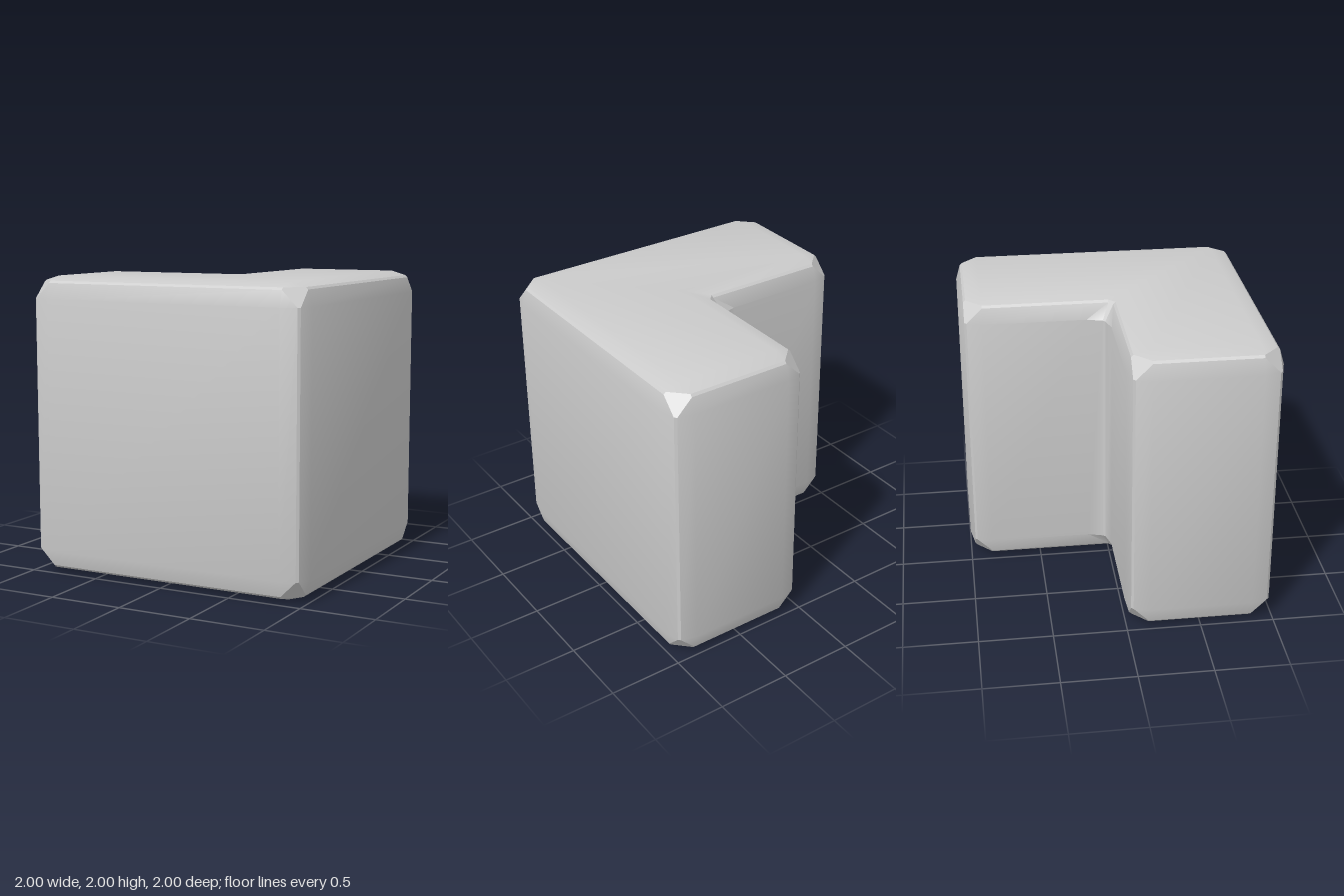
import * as THREE from 'three';
import { toCreasedNormals } from 'three/addons/utils/BufferGeometryUtils.js';

// L-shaped outline (x, z), counter-clockwise from above; c = -1 marks the inner corner
const OUTLINE = [[-1, 1], [1, 1], [1, -1], [0, -1], [0, 0], [-1, 0]];
const CONVEX = [1, 1, 1, 1, -1, 1];
const N = OUTLINE.length, H = 2;
const FLAT = 0.15;   // where a face starts to slope towards its edge
const EDGE = 0.045;  // where the slope meets the bevel
const DROP = 0.03;   // how far the slope falls

// Point on wall i: end e (0 start, 1 end), inset along the wall, depth outward, height
function at(i, e, inset, depth, y) {
  const [px, pz] = OUTLINE[i], [qx, qz] = OUTLINE[(i + 1) % N];
  const len = Math.hypot(qx - px, qz - pz);
  const dx = (qx - px) / len, dz = (qz - pz) / len;
  const s = e ? len - inset : inset;
  return [px + dx * s - dz * depth, y, pz + dz * s + dx * depth];
}
const convex = (i, e) => CONVEX[(i + e) % N];
const level = (t, inset) => (t ? H - inset : inset);
const runOut = (i, e) => (convex(i, e) > 0 ? FLAT : 0);

// Named points of each wall; t = 1 top, 0 bottom
const flat = (i, e, t) => at(i, e, FLAT, 0, level(t, FLAT));
const side = (i, e, t) => at(i, e, EDGE, -DROP * convex(i, e), level(t, FLAT));
const rim = (i, e, t) => at(i, e, runOut(i, e), -DROP, level(t, EDGE));
const capRim = (i, e, t) => at(i, e, runOut(i, e), -EDGE, level(t, DROP));
const capFlat = (i, t) => at(i % N, 0, FLAT * CONVEX[i % N], -FLAT, level(t, 0));

function polygonMesh(name, polygons, material) {
  const pos = [];
  for (const p of polygons)
    for (let k = 1; k < p.length - 1; k++) pos.push(...p[0], ...p[k], ...p[k + 1]);
  const g = new THREE.BufferGeometry();
  g.setAttribute('position', new THREE.Float32BufferAttribute(pos, 3));
  const mesh = new THREE.Mesh(toCreasedNormals(g, 0.42), material);
  mesh.name = name;
  return mesh;
}

export function createModel() {
  const faces = [], bevels = [], corners = [];
  // Bottom polygons are mirrored, so their corner order is reversed
  const add = (list, t, ...p) => list.push(t ? p : p.reverse());

  for (let i = 0; i < N; i++) {
    const j = (i + 1) % N;
    // Flat wall, its sloping sides and the upright bevel to the next wall
    add(faces, 1, flat(i, 0, 0), flat(i, 1, 0), flat(i, 1, 1), flat(i, 0, 1));
    add(faces, 1, side(i, 0, 0), flat(i, 0, 0), flat(i, 0, 1), side(i, 0, 1));
    add(faces, 1, flat(i, 1, 0), side(i, 1, 0), side(i, 1, 1), flat(i, 1, 1));
    add(bevels, 1, side(i, 1, 0), side(j, 0, 0), side(j, 0, 1), side(i, 1, 1));

    for (const t of [0, 1]) {
      // Wall slope towards the cap
      add(faces, t, flat(i, 0, t), flat(i, 1, t), rim(i, 1, t), rim(i, 0, t));
      add(faces, t, side(i, 0, t), flat(i, 0, t), rim(i, 0, t));
      add(faces, t, flat(i, 1, t), side(i, 1, t), rim(i, 1, t));
      // Bevel, then cap slope
      add(bevels, t, rim(i, 0, t), rim(i, 1, t), capRim(i, 1, t), capRim(i, 0, t));
      add(faces, t, capRim(i, 0, t), capRim(i, 1, t), capFlat(i + 1, t), capFlat(i, t));
      add(faces, t, capRim(i, 1, t), capRim(j, 0, t), capFlat(i + 1, t));
      // Six-sided corner patch, fanned around its centre
      const ring = [side(i, 1, t), side(j, 0, t), rim(j, 0, t),
        capRim(j, 0, t), capRim(i, 1, t), rim(i, 1, t)];
      const mid = [0, 1, 2].map(a => ring.reduce((s, p) => s + p[a], 0) / 6);
      ring.forEach((p, k) => add(corners, t, mid, p, ring[(k + 1) % 6]));
    }
  }
  // Flat L-shaped caps
  for (const t of [0, 1])
    for (const q of [[1, 2, 3, 4], [1, 4, 5, 0]])
      add(faces, t, ...q.map(k => capFlat(k, t)));

  const material = new THREE.MeshStandardMaterial({ color: 0xcccccc });
  const group = new THREE.Group();
  group.name = 'cornerBlock';
  group.add(
    polygonMesh('faces', faces, material),
    polygonMesh('edgeBevels', bevels, material),
    polygonMesh('cornerPatches', corners, material)
  );
  return group;
}
